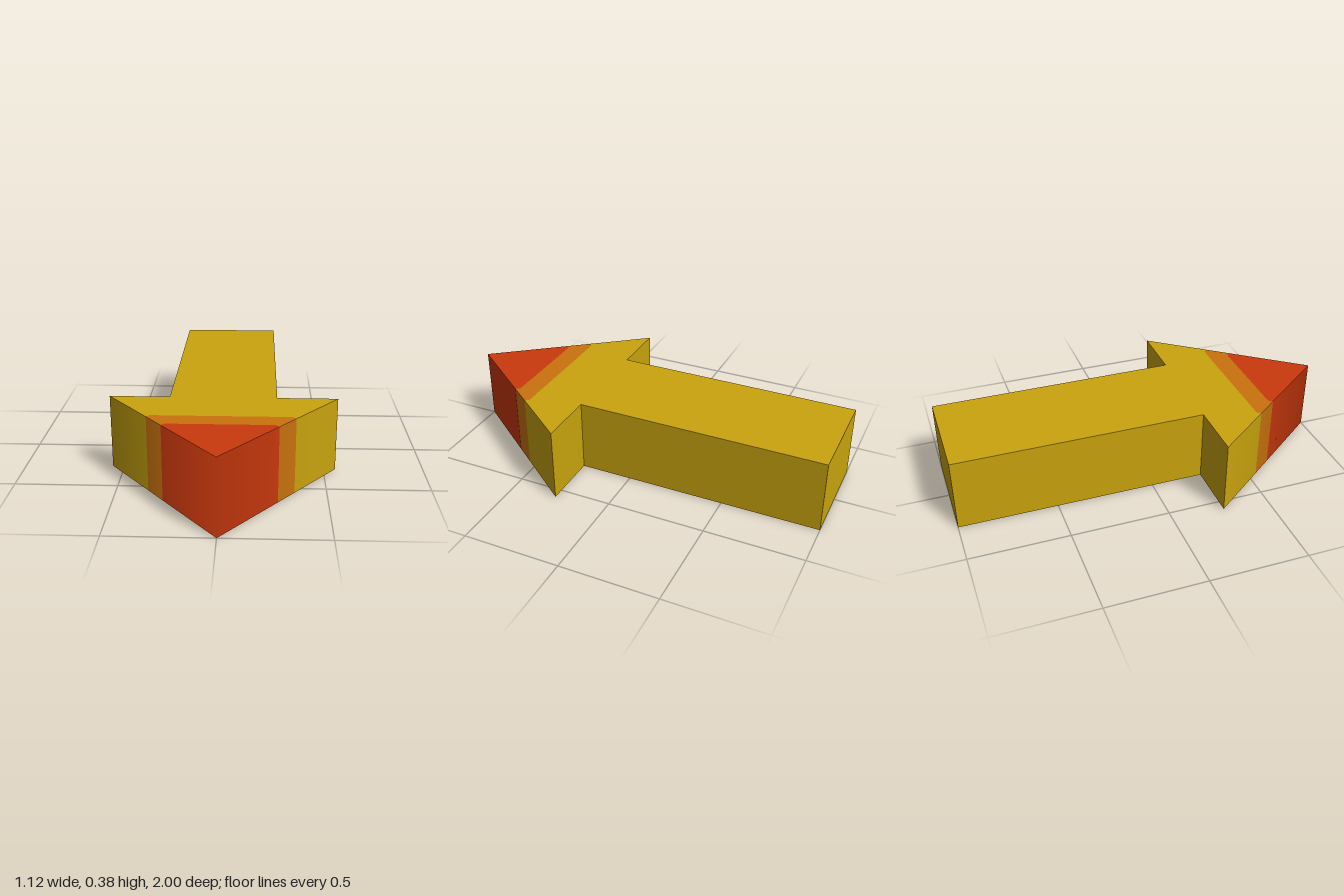
import * as THREE from 'three';
import { mergeGeometries } from 'three/addons/utils/BufferGeometryUtils.js';

const H = 0.375;         // thickness
const SHAFT = 0.263;     // shaft half width
const BARB = 0.56;       // head half width
const NECK = 0.267;      // z where the head begins

const material = (name, color) => {
  const m = new THREE.MeshStandardMaterial({ color });
  m.name = name;
  return m;
};

// z of the head's slanted edge at a given half width
const edgeZ = (x) => 1 - (Math.abs(x) / BARB) * (1 - NECK);

// Top and bottom faces from an outline of [x, z] points
function caps(outline) {
  const shape = (s) => new THREE.Shape(outline.map(([x, z]) => new THREE.Vector2(x, s * z)));
  const top = new THREE.ShapeGeometry(shape(-1)).rotateX(-Math.PI / 2).translate(0, H, 0);
  const bottom = new THREE.ShapeGeometry(shape(1)).rotateX(Math.PI / 2);
  for (const g of [top, bottom]) g.deleteAttribute('uv');
  return [top, bottom];
}

// Upright wall from a to b, with its outside on the left of travel seen from above;
// rounded walls blend their normals towards +z at the tip
function wall([ax, az], [bx, bz], rounded = false) {
  const face = new THREE.Vector3(az - bz, 0, bx - ax).normalize();
  const normalAt = (x) => rounded
    ? new THREE.Vector3(0, 0, 1).lerp(face, Math.abs(x) / BARB).normalize().toArray()
    : face.toArray();
  const na = normalAt(ax), nb = normalAt(bx);
  const g = new THREE.BufferGeometry();
  g.setAttribute('position', new THREE.Float32BufferAttribute(
    [ax, 0, az, bx, 0, bz, bx, H, bz, ax, H, az], 3));
  g.setAttribute('normal', new THREE.Float32BufferAttribute([...na, ...nb, ...nb, ...na], 3));
  g.setIndex([0, 1, 2, 0, 2, 3]);
  return g;
}

// Both slanted walls of the head between two half widths
const slants = (inner, outer) => [
  wall([inner, edgeZ(inner)], [outer, edgeZ(outer)], true),
  wall([-outer, edgeZ(outer)], [-inner, edgeZ(inner)], true),
];

// Colour boundary across the head, from -x to +x, with small kinked ends
function boundary(x) {
  const z = edgeZ(x);
  return [[-x, z], [-x + 0.015, z - 0.02], [x - 0.015, z - 0.02], [x, z]];
}

export function createModel() {
  const group = new THREE.Group();
  group.name = 'arrow';
  const yellow = material('yellow', 0xc9a40e);
  const orange = material('orange', 0xca730e);
  const red = material('red', 0xcb390d);

  const add = (name, mat, geometries) => {
    const mesh = new THREE.Mesh(mergeGeometries(geometries), mat);
    mesh.name = name;
    group.add(mesh);
  };

  const rear = boundary(0.347);
  const front = boundary(0.267);

  // Straight shaft
  add('shaft', yellow, [
    ...caps([[-SHAFT, -1], [SHAFT, -1], [SHAFT, NECK], [-SHAFT, NECK]]),
    wall([SHAFT, NECK], [SHAFT, -1]),
    wall([SHAFT, -1], [-SHAFT, -1]),
    wall([-SHAFT, -1], [-SHAFT, NECK]),
  ]);

  // Wide base of the head with its two barbs
  add('headBase', yellow, [
    ...caps([[BARB, NECK], [-BARB, NECK], ...rear]),
    ...slants(0.347, BARB),
    wall([BARB, NECK], [SHAFT, NECK]),
    wall([-SHAFT, NECK], [-BARB, NECK]),
  ]);

  // Band across the head
  add('headBand', orange, [
    ...caps([...rear, ...[...front].reverse()]),
    ...slants(0.267, 0.347),
  ]);

  // Pointed tip
  add('headTip', red, [
    ...caps([...front, [0, 1]]),
    ...slants(0, 0.267),
  ]);

  return group;
}
